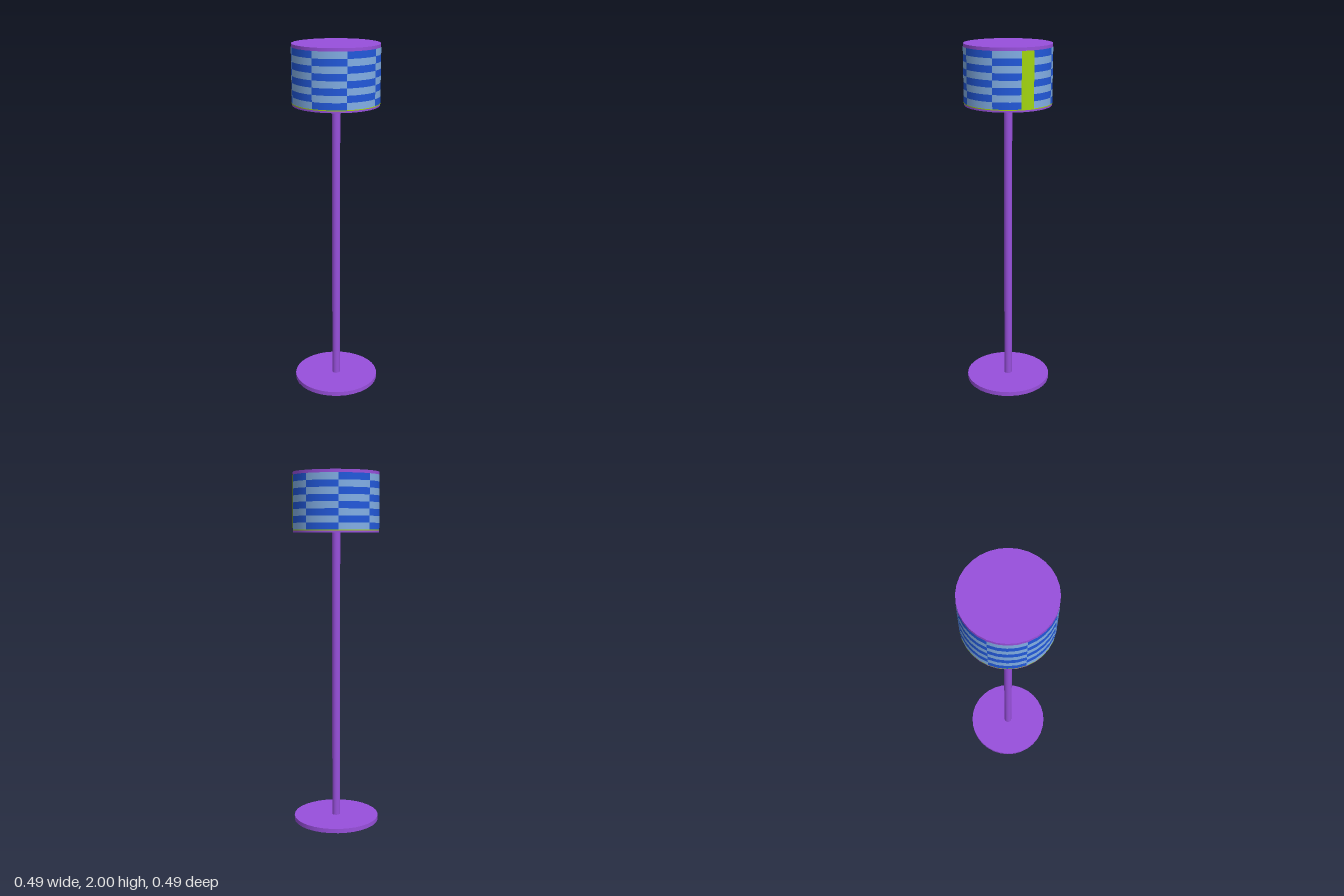
import * as THREE from 'three';

export function createModel() {
  const mat = (name, color) => {
    const m = new THREE.MeshStandardMaterial({ color });
    m.name = name;
    return m;
  };
  const purple = mat('purple', 0x9850dc);
  const darkBlue = mat('dark blue', 0x2259dc);
  const lightBlue = mat('light blue', 0x82afe6);
  const green = mat('lime green', 0xa2d410);

  const model = new THREE.Group();
  model.name = 'floorLamp';

  // Solid upright cylinder between two heights
  const drum = (name, radius, y0, y1) => {
    const mesh = new THREE.Mesh(new THREE.CylinderGeometry(radius, radius, y1 - y0, 32), purple);
    mesh.position.y = (y0 + y1) / 2;
    mesh.name = name;
    model.add(mesh);
  };
  drum('base', 0.245, 0, 0.025);
  drum('pole', 0.023, 0.025, 1.67);
  drum('shade', 0.24, 1.67, 2);

  // Thin curved panel wrapped round the shade (angle in degrees from +z towards +x)
  const pattern = new THREE.Group();
  pattern.name = 'shadePattern';
  model.add(pattern);
  const panel = (name, material, radius, y0, y1, from, sweep, segments) => {
    const geo = new THREE.CylinderGeometry(radius, radius, y1 - y0, segments, 1, true,
      THREE.MathUtils.degToRad(from), THREE.MathUtils.degToRad(sweep));
    const mesh = new THREE.Mesh(geo, material);
    mesh.position.y = (y0 + y1) / 2;
    mesh.name = name;
    pattern.add(mesh);
  };

  // Alternating bars: eight columns of eight rows
  const bottom = 1.685, top = 1.983, rows = 8, columns = 8;
  const step = (top - bottom) / rows;
  for (let c = 0; c < columns; c++) {
    for (let r = 0; r < rows; r++) {
      const dark = (c + r) % 2 === 1;
      panel('shadeBar', dark ? darkBlue : lightBlue, 0.2415,
        bottom + r * step, bottom + (r + 1) * step, c * 45, 45, 4);
    }
  }

  // Green seam and lower trim
  panel('shadeSeam', green, 0.2425, bottom, top, 81.5, 17, 2);
  panel('shadeTrim', green, 0.2415, bottom - 0.005, bottom, 0, 360, 32);

  return model;
}
